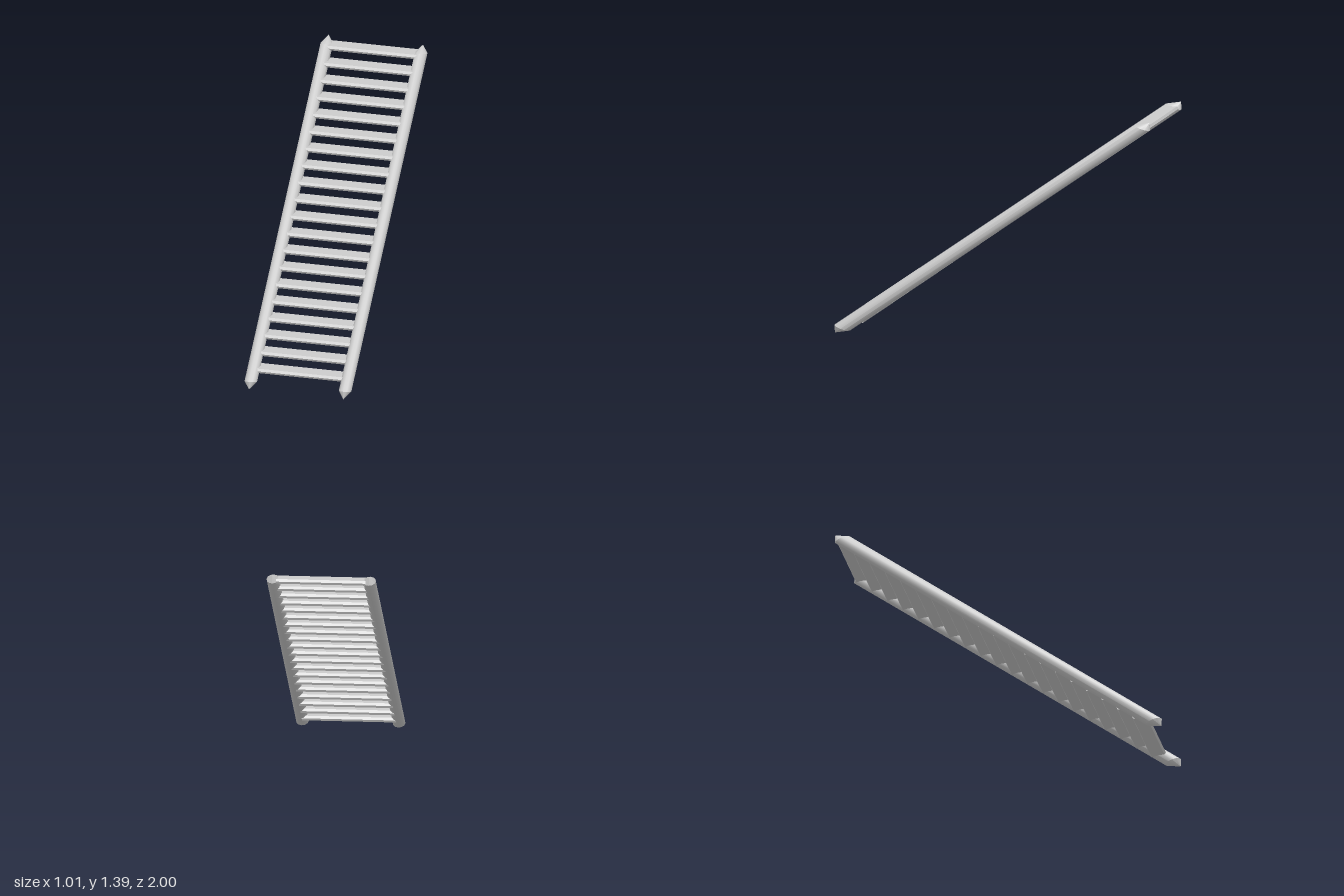
import * as THREE from 'three';
import { toCreasedNormals } from 'three/addons/utils/BufferGeometryUtils.js';

const material = new THREE.MeshStandardMaterial({ color: 0xcccccc });
const RISE = 1.39, RUN = 1.92, HALF = Math.hypot(RISE, RUN) / 2;
const STEPS = 20;

// Round rail with pointed ends, sheared so the ends are cut at a slant
function railGeometry() {
  const r = 0.037, ring = HALF - 0.056;
  const profile = [[0, -HALF], [r, -ring], [r, ring], [0, HALF]].map(p => new THREE.Vector2(...p));
  const geo = new THREE.LatheGeometry(profile, 12);
  const pos = geo.attributes.position;
  for (let i = 0; i < pos.count; i++) {
    const z = pos.getZ(i) * 1.06;
    pos.setZ(i, z);
    pos.setY(i, pos.getY(i) - 0.73 * z);
  }
  return toCreasedNormals(geo, 0.6);
}

// Flat tread with slightly pointed front and back edges, running along x
function treadGeometry() {
  const d = 0.048, t = 0.014, width = 0.544;
  const shape = new THREE.Shape([[-d, 0], [-d + 0.008, -t], [d - 0.008, -t], [d, 0], [d - 0.008, t], [-d + 0.008, t]]
    .map(p => new THREE.Vector2(...p)));
  const geo = new THREE.ExtrudeGeometry(shape, { depth: width, bevelEnabled: false });
  geo.translate(0, 0, -width / 2);
  geo.rotateY(Math.PI / 2);
  return geo;
}

export function createModel() {
  const model = new THREE.Group();
  model.name = 'staircase';

  // Side rails
  const railGeo = railGeometry();
  for (const side of [-1, 1]) {
    const rail = new THREE.Mesh(railGeo, material);
    rail.name = side > 0 ? 'leftRail' : 'rightRail';
    rail.position.set(side * 0.28, RISE / 2, 0);
    rail.rotation.x = -Math.atan2(RUN, RISE);
    model.add(rail);
  }

  // Treads
  const treadGeo = treadGeometry();
  for (let i = 0; i < STEPS; i++) {
    const tread = new THREE.Mesh(treadGeo, material);
    tread.name = `tread${i + 1}`;
    tread.position.set(0, 0.082 + i * 0.0668, 0.831 - i * 0.0913);
    model.add(tread);
  }

  // The whole flight is turned a little about the vertical
  const turned = new THREE.Group();
  model.rotation.y = 0.216;
  turned.add(model);
  return turned;
}
